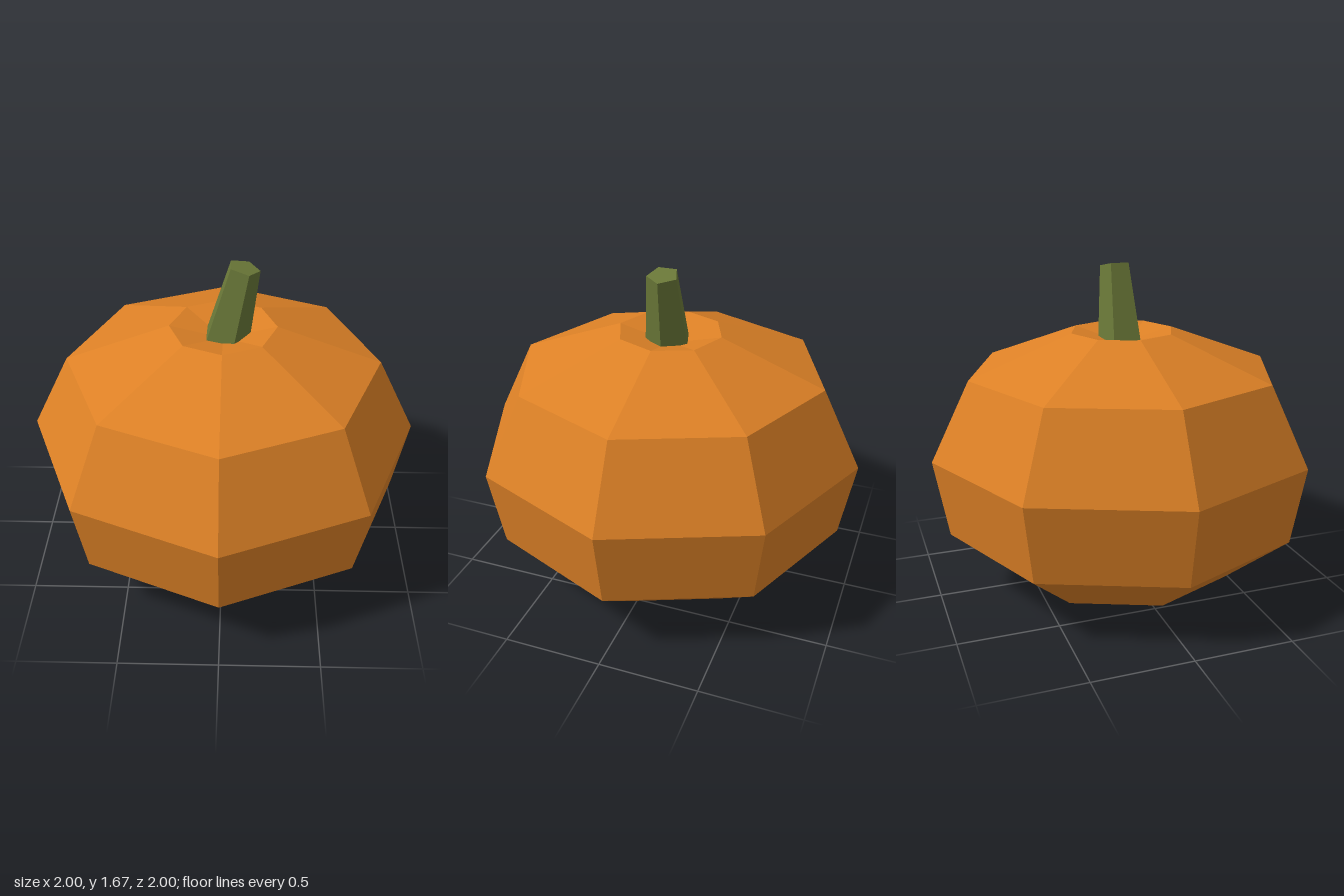
import * as THREE from 'three';

export function createModel() {
  const model = new THREE.Group();
  model.name = 'pumpkin';

  const flesh = new THREE.MeshStandardMaterial({ color: 0xdd8126, flatShading: true });
  flesh.name = 'pumpkin orange';
  const green = new THREE.MeshStandardMaterial({ color: 0x6a7838, flatShading: true });
  green.name = 'stem green';

  // Eight-sided body, from the bottom point up to the dimple under the stem
  const profile = [
    [0, 0], [0.6, 0.07], [0.93, 0.335], [1, 0.735],
    [0.8, 1.135], [0.27, 1.335], [0, 1.268],
  ].map(([r, y]) => new THREE.Vector2(r, y));
  const body = new THREE.Mesh(new THREE.LatheGeometry(profile, 8), flesh);
  body.name = 'body';
  model.add(body);

  // Tapered five-sided stem, leaning towards +x with its base sunk in the dimple
  const height = 0.4;
  const stemGeometry = new THREE.CylinderGeometry(0.08, 0.12, height, 5, 1, false, Math.PI / 2);
  stemGeometry.translate(0, height / 2, 0);
  const stem = new THREE.Mesh(stemGeometry, green);
  stem.name = 'stem';
  stem.position.set(0.012, 1.266, 0);
  stem.rotation.z = -0.22;
  model.add(stem);

  return model;
}
